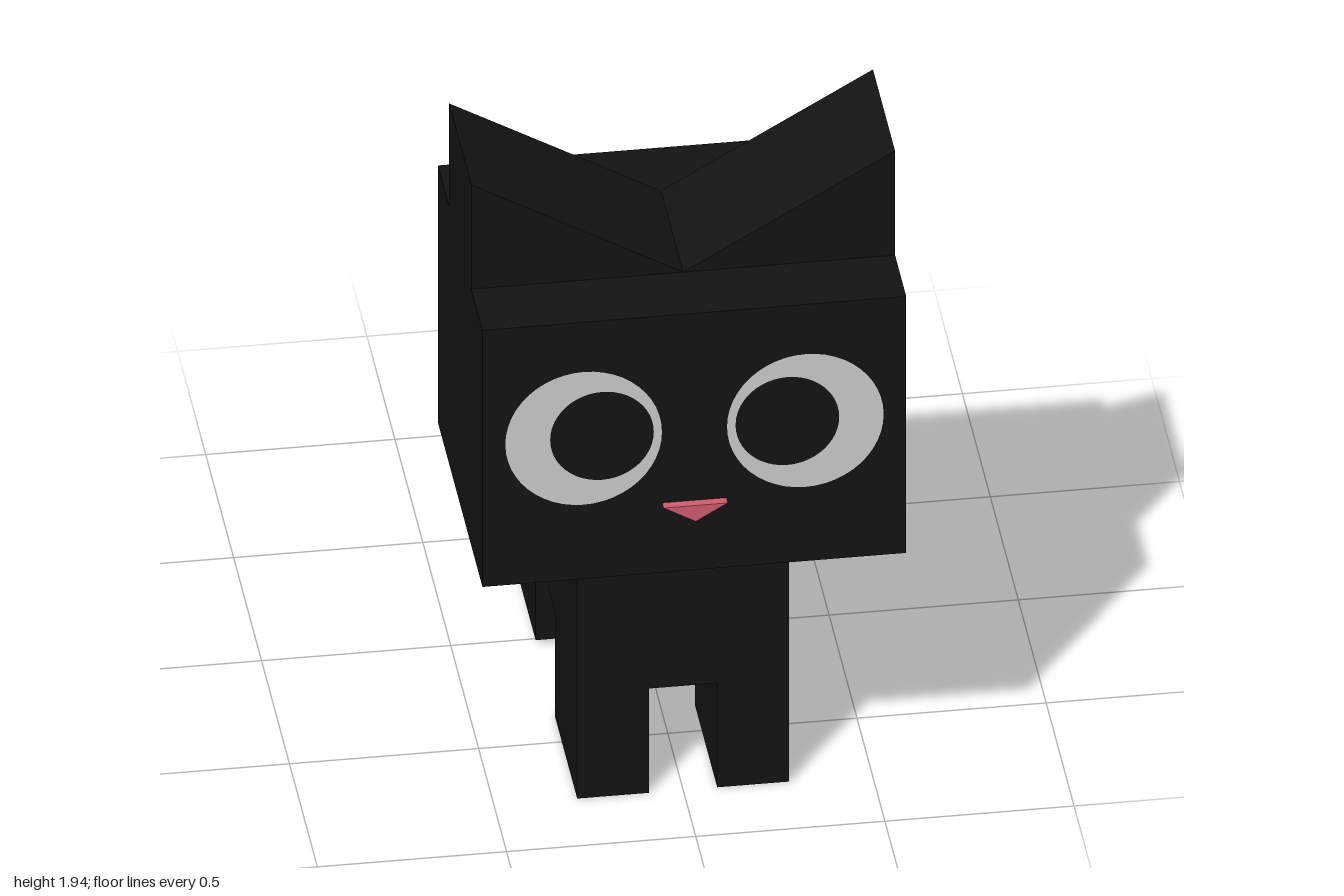
import * as THREE from 'three';

export function createModel() {
  const cat = new THREE.Group();
  cat.name = 'cat';
  const fur = new THREE.MeshStandardMaterial({ color: 0x131313, flatShading: true });
  const white = new THREE.MeshStandardMaterial({ color: 0xcccccc });
  const pink = new THREE.MeshStandardMaterial({ color: 0xd05c6e });

  function add(name, geometry, material) {
    const mesh = new THREE.Mesh(geometry, material);
    mesh.name = name;
    cat.add(mesh);
    return mesh;
  }

  // Box given by its extents on each axis
  function block(name, [x0, x1], [y0, y1], [z0, z1]) {
    add(name, new THREE.BoxGeometry(x1 - x0, y1 - y0, z1 - z0), fur)
      .position.set((x0 + x1) / 2, (y0 + y1) / 2, (z0 + z1) / 2);
  }

  // Triangular prism running from z0 to z1
  function prism(name, points, z0, z1, material) {
    const shape = new THREE.Shape(points.map(([x, y]) => new THREE.Vector2(x, y)));
    const geometry = new THREE.ExtrudeGeometry(shape, { depth: z1 - z0, bevelEnabled: false });
    add(name, geometry, material).position.z = z0;
  }

  // Head, chest, back and tail
  block('head', [-0.56, 0.56], [0.815, 1.615], [0.175, 0.975]);
  block('chest', [-0.28, 0.28], [0.325, 0.815], [0.38, 0.775]);
  block('back', [-0.28, 0.28], [0.325, 0.595], [-0.31, 0.38]);
  block('tail', [-0.09, 0.09], [0.41, 0.595], [-1, -0.31]);

  for (const [side, s] of [['left', 1], ['right', -1]]) {
    // Legs: the hind pair stops slightly short of the ground
    const legX = s > 0 ? [0.09, 0.28] : [-0.28, -0.09];
    block(side + 'FrontLeg', legX, [0, 0.325], [0.38, 0.775]);
    block(side + 'HindLeg', legX, [0.015, 0.325], [-0.31, 0.03]);

    // Wedge ear, peaking at the outer edge of the head
    prism(side + 'Ear', [[0, 1.615], [s * 0.56, 1.615], [s * 0.56, 1.94]], 0.38, 0.775, fur);

    // Round eye with an inward-set pupil
    add(side + 'Eye', new THREE.CircleGeometry(0.207, 48), white)
      .position.set(s * 0.293, 1.255, 0.978);
    add(side + 'Pupil', new THREE.CircleGeometry(0.137, 48), fur)
      .position.set(s * 0.245, 1.26, 0.981);
  }

  // Nose
  prism('nose', [[-0.085, 1.032], [0, 0.982], [0.085, 1.032]], 0.97, 1, pink);

  return cat;
}
